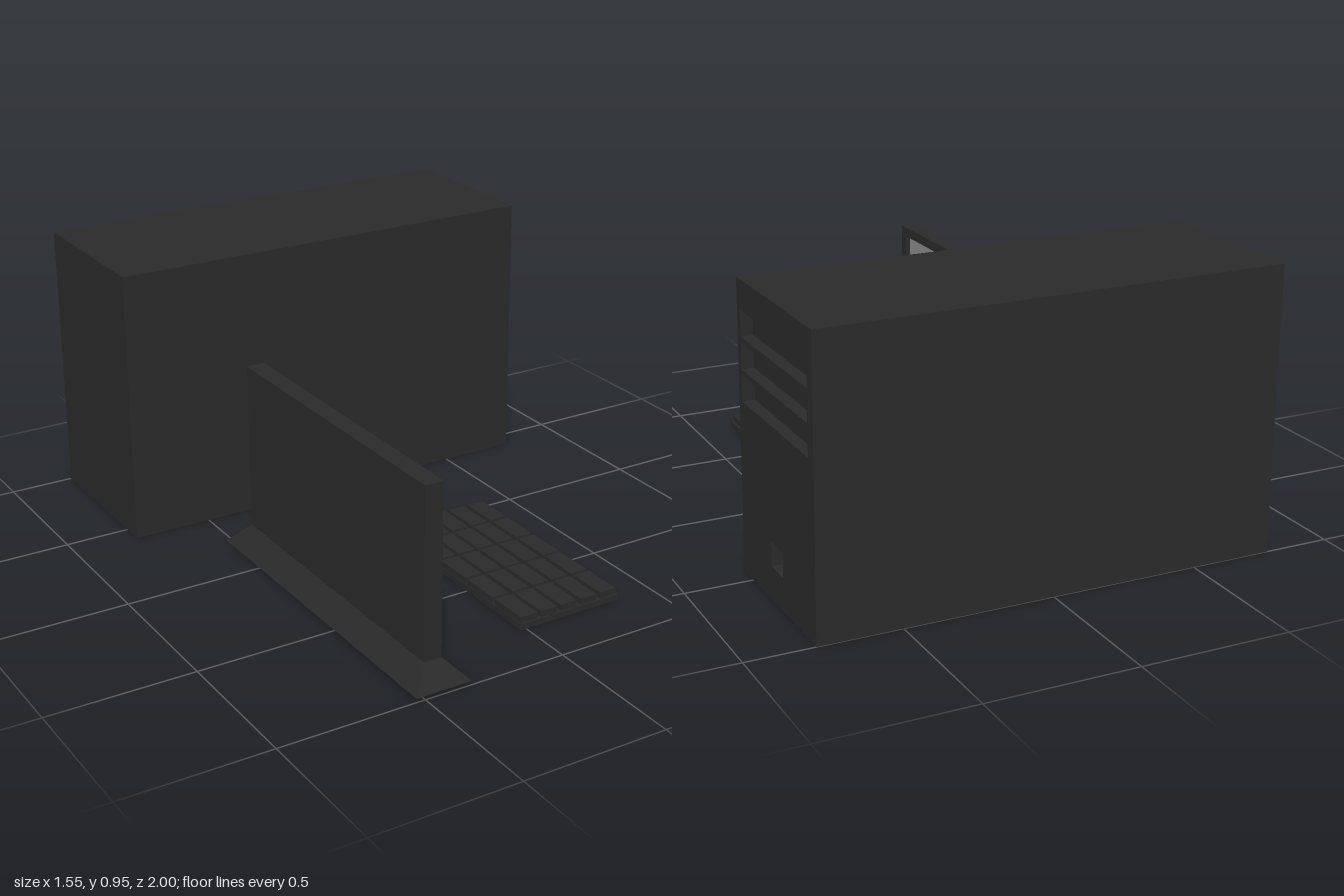
import * as THREE from 'three';

const dark = new THREE.MeshStandardMaterial({ color: 0x2a2a2a, flatShading: true });
const grey = new THREE.MeshStandardMaterial({ color: 0x8c8c8c, flatShading: true });

function add(parent, name, geometry, material = dark) {
  const mesh = new THREE.Mesh(geometry, material);
  mesh.name = name;
  parent.add(mesh);
  return mesh;
}

// Box given by its minimum and maximum corners
function box(parent, name, a, b, material) {
  const g = new THREE.BoxGeometry(b[0] - a[0], b[1] - a[1], b[2] - a[2]);
  g.translate((a[0] + b[0]) / 2, (a[1] + b[1]) / 2, (a[2] + b[2]) / 2);
  return add(parent, name, g, material);
}

// Rectangle path in the z-y plane, with z negated so it can be turned to face +x
function rect(path, [z0, y0, z1, y1]) {
  path.moveTo(-z1, y0);
  path.lineTo(-z0, y0);
  path.lineTo(-z0, y1);
  path.lineTo(-z1, y1);
  path.closePath();
  return path;
}

// Plate facing +x with rectangular openings
function plate(parent, name, outline, openings, x, depth) {
  const shape = rect(new THREE.Shape(), outline);
  for (const o of openings) shape.holes.push(rect(new THREE.Path(), o));
  const g = new THREE.ExtrudeGeometry(shape, { depth, bevelEnabled: false });
  g.rotateY(Math.PI / 2).translate(x - depth, 0, 0);
  return add(parent, name, g);
}

function createTower() {
  const tower = new THREE.Group();
  tower.name = 'tower';
  box(tower, 'towerCase', [-0.775, 0, -1], [0.735, 0.95, -0.42]);
  // Front panel with three drive bays and a power button recess
  const openings = [0.565, 0.667, 0.77].map((y) => [-0.96, y, -0.445, y + 0.084]);
  openings.push([-0.75, 0.11, -0.657, 0.192]);
  plate(tower, 'towerFrontPanel', [-1, 0, -0.42, 0.95], openings, 0.775, 0.04);
  return tower;
}

function createMonitor() {
  const monitor = new THREE.Group();
  monitor.name = 'monitor';
  const opening = [-0.118, 0.12, 0.9, 0.627];
  box(monitor, 'monitorBack', [-0.465, 0.083, -0.155], [-0.424, 0.662, 0.935]);
  plate(monitor, 'monitorBezel', [-0.155, 0.083, 0.935, 0.662], [opening], -0.402, 0.022);
  box(monitor, 'screen', [-0.43, 0.12, -0.118], [-0.42, 0.627, 0.9], grey);

  // Sloped foot: a box whose top is narrowed to the monitor's footprint
  const g = new THREE.BoxGeometry(0.195, 0.07, 1.22);
  const p = g.attributes.position;
  for (let i = 0; i < p.count; i++) {
    if (p.getY(i) > 0) {
      p.setX(i, Math.sign(p.getX(i)) * 0.0315);
      p.setZ(i, Math.sign(p.getZ(i)) * 0.545);
    }
  }
  g.computeVertexNormals();
  add(monitor, 'monitorFoot', g).position.set(-0.4335, 0.048, 0.39);
  return monitor;
}

function createKeyboard() {
  const keyboard = new THREE.Group();
  keyboard.name = 'keyboard';
  box(keyboard, 'keyboardBase', [-0.02, 0, 0.03], [0.365, 0.021, 0.806]);
  // Five by five grid of keys
  for (let col = 0; col < 5; col++) {
    for (let row = 0; row < 5; row++) {
      const x = -0.018 + col * 0.078;
      const z = 0.032 + row * 0.1565;
      box(keyboard, 'key', [x, 0.02, z], [x + 0.063, 0.043, z + 0.143]);
    }
  }
  return keyboard;
}

export function createModel() {
  const model = new THREE.Group();
  model.name = 'desktopComputer';
  model.add(createTower(), createMonitor(), createKeyboard());
  return model;
}
